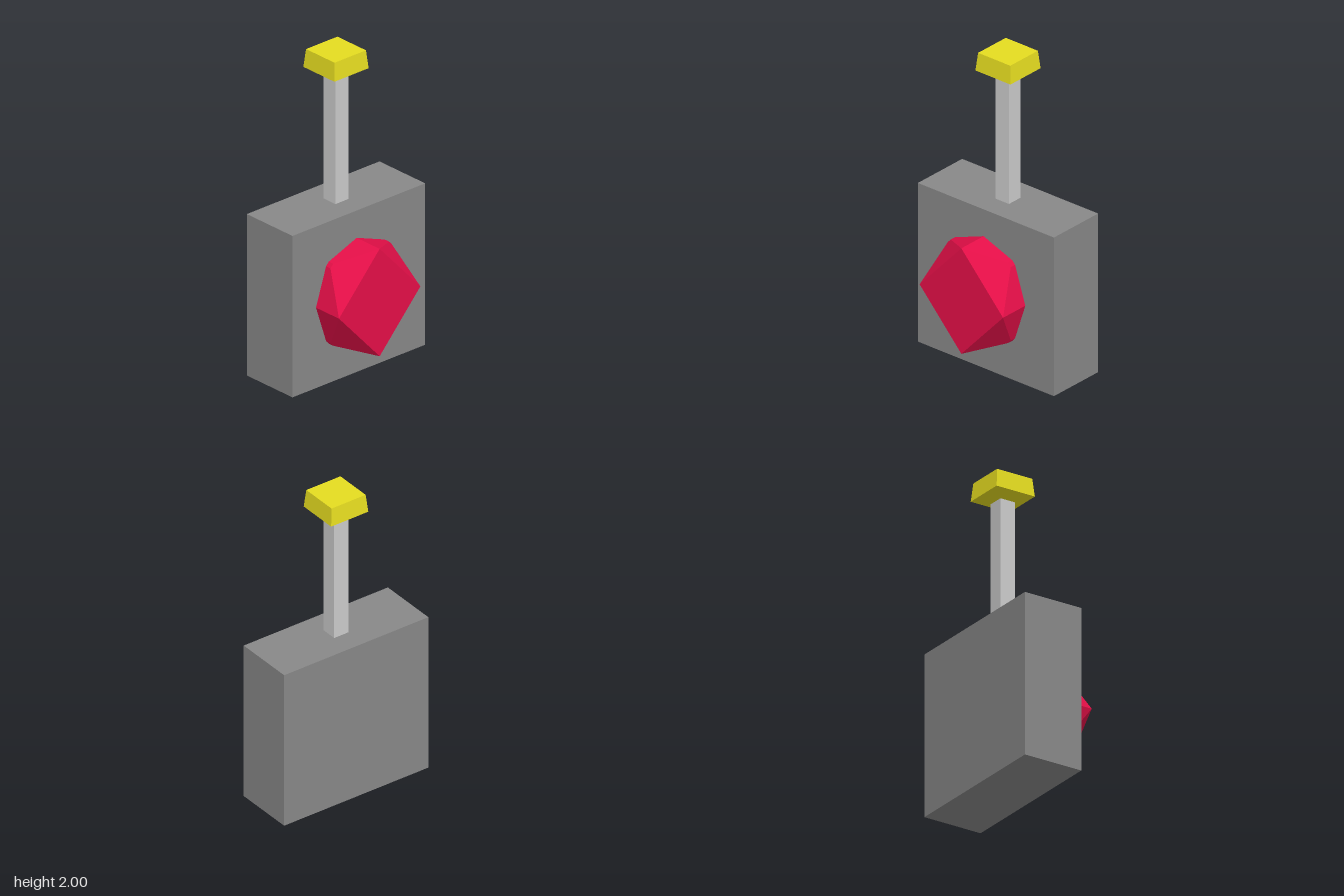
import * as THREE from 'three';
import { ConvexGeometry } from 'three/addons/geometries/ConvexGeometry.js';

const CZ = -0.1; // depth centre of body, post and cap

function addPart(group, name, geometry, color, x, y, z) {
  const material = new THREE.MeshStandardMaterial({ color, flatShading: true });
  const mesh = new THREE.Mesh(geometry, material);
  mesh.name = name;
  mesh.position.set(x, y, z);
  group.add(mesh);
}

// Square frustum given by half-widths, flat sides facing the axes
function squareFrustum(top, bottom, height, open) {
  const r = Math.SQRT2;
  return new THREE.CylinderGeometry(top * r, bottom * r, height, 4, 1, open).rotateY(Math.PI / 4);
}

// Faceted gem: diamond front, bevelled corners, straight sides running back
function gemGeometry() {
  const front = 0.295, bevel = 0.135, back = 0.02;
  const w = 0.319, h = 0.346;
  const points = [];
  for (const s of [-1, 1]) {
    for (const z of [front, back]) {
      points.push(new THREE.Vector3(s * w, 0, z), new THREE.Vector3(0, s * h, z));
    }
    for (const t of [-1, 1]) {
      for (const z of [bevel, back]) {
        points.push(new THREE.Vector3(s * 0.219, t * 0.264, z), new THREE.Vector3(s * 0.24, t * 0.241, z));
      }
    }
  }
  return new ConvexGeometry(points);
}

export function createModel() {
  const model = new THREE.Group();
  model.name = 'gemBoxWithPost';

  // Main block
  addPart(model, 'body', new THREE.BoxGeometry(1.04, 1.04, 0.394), 0x888888, 0, 0.52, CZ);

  // Gem set into the front
  addPart(model, 'gem', gemGeometry(), 0xe50f48, -0.017, 0.518, 0);

  // Post on top
  addPart(model, 'post', new THREE.BoxGeometry(0.102, 0.84, 0.102), 0xcccccc, 0, 1.44, CZ);

  // Cap: tapered block with a shallow sloping underside
  const cap = new THREE.Group();
  cap.name = 'cap';
  addPart(cap, 'capTop', squareFrustum(0.123, 0.134, 0.115, false), 0xe5dc20, 0, 1.9425, CZ);
  addPart(cap, 'capUnderside', squareFrustum(0.134, 0.051, 0.027, true), 0xe5dc20, 0, 1.8715, CZ);
  model.add(cap);

  return model;
}
